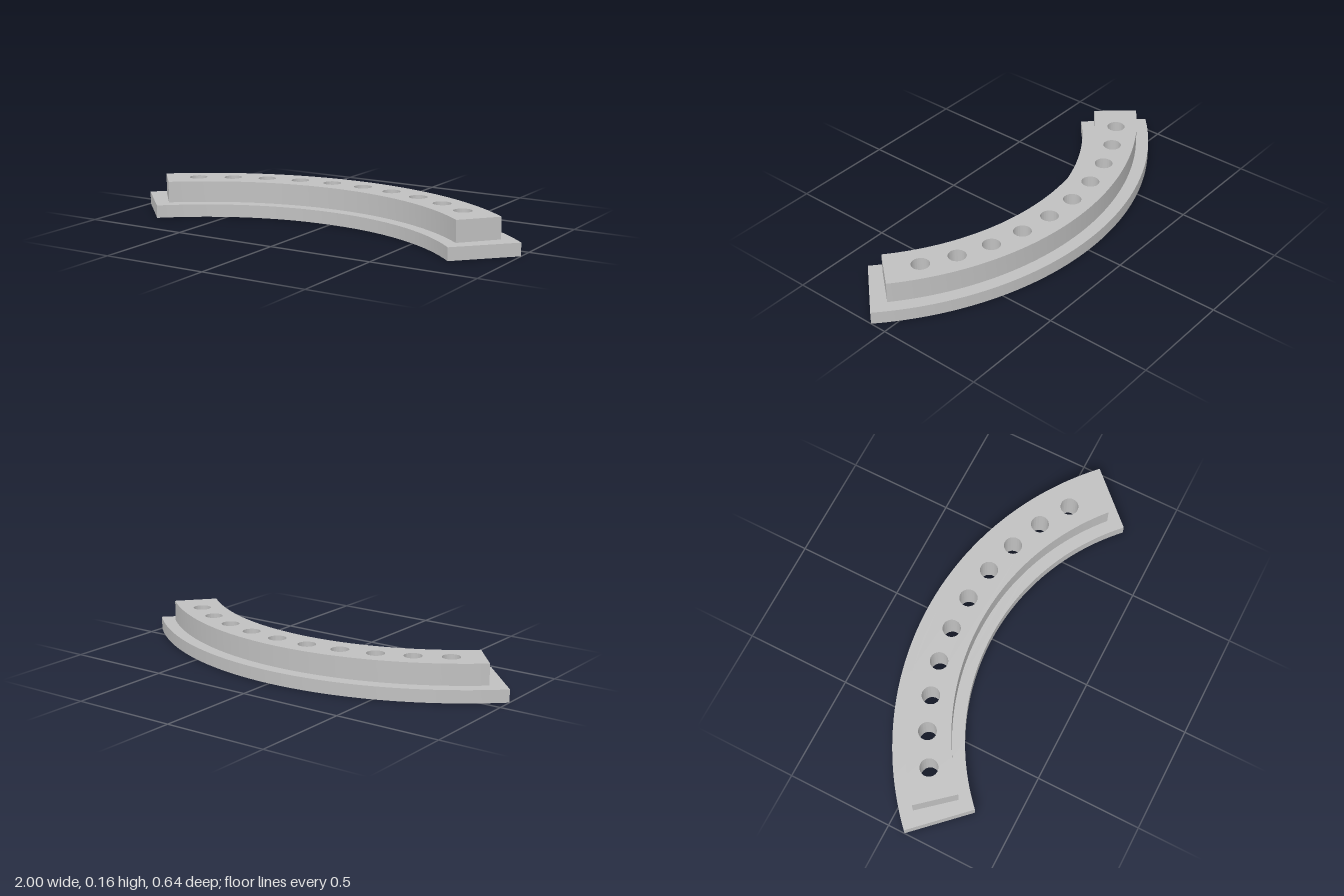
import * as THREE from 'three';
import { toCreasedNormals } from 'three/addons/utils/BufferGeometryUtils.js';

const CENTRE_Z = 1.123; // shared centre of every arc
const RAD = Math.PI / 180;

// Ring sector with a row of drilled holes, extruded upwards from y = bottom
function sector(inner, outer, halfAngle, bottom, height) {
  const a = Math.PI / 2 - halfAngle * RAD;
  const b = Math.PI / 2 + halfAngle * RAD;
  const shape = new THREE.Shape();
  shape.absarc(0, -CENTRE_Z, outer, a, b, false);
  shape.absarc(0, -CENTRE_Z, inner, b, a, true);
  shape.closePath();

  // Ten through holes, evenly spaced along the arc
  for (let i = 0; i < 10; i++) {
    const t = (-34 + 7.505 * i) * RAD;
    const hole = new THREE.Path();
    hole.absarc(1.281 * Math.sin(t), 1.281 * Math.cos(t) - CENTRE_Z, 0.042, 0, Math.PI * 2, true);
    shape.holes.push(hole);
  }

  const geometry = new THREE.ExtrudeGeometry(shape, { depth: height, bevelEnabled: false, curveSegments: 48 });
  geometry.rotateX(-Math.PI / 2);
  geometry.translate(0, bottom, 0);
  return toCreasedNormals(geometry, 0.6);
}

export function createModel() {
  const group = new THREE.Group();
  group.name = 'curvedRail';
  const grey = new THREE.MeshStandardMaterial({ color: 0xc0c0c0 });
  grey.name = 'grey';

  // Wide base flange
  const base = new THREE.Mesh(sector(1.115, 1.444, 43.8, 0, 0.06), grey);
  base.name = 'baseFlange';

  // Narrower raised rail
  const rail = new THREE.Mesh(sector(1.174, 1.383, 40.7, 0.06, 0.1), grey);
  rail.name = 'raisedRail';

  group.add(base, rail);
  return group;
}
